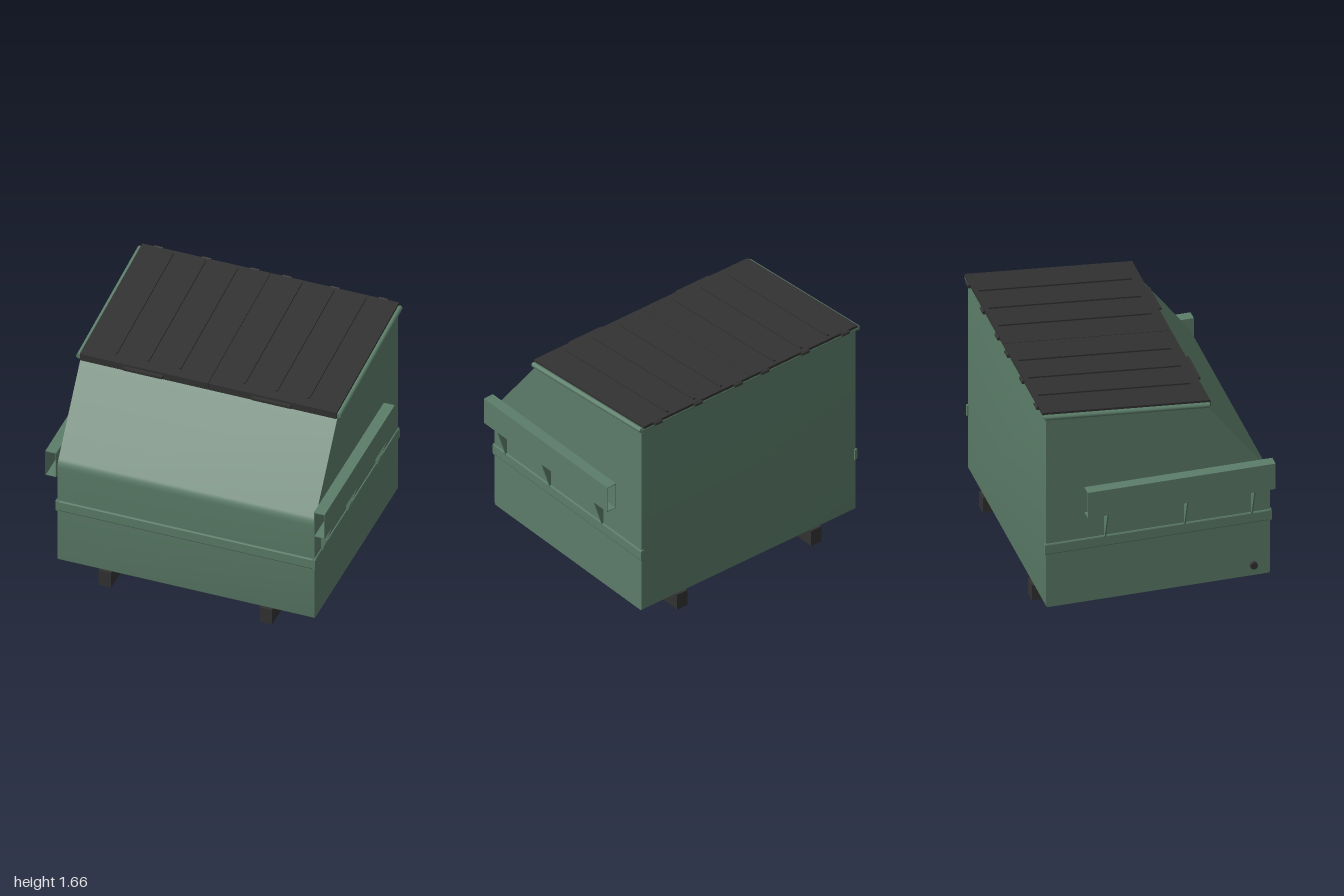
import * as THREE from 'three';
import { toCreasedNormals } from 'three/addons/utils/BufferGeometryUtils.js';

export function createModel() {
  const model = new THREE.Group();
  model.name = 'wasteContainer';
  const green = new THREE.MeshStandardMaterial({ color: 0x5c7d69 });
  green.name = 'greenSteel';
  const black = new THREE.MeshStandardMaterial({ color: 0x323232 });
  black.name = 'blackPlastic';

  const add = (name, geometry, material, x = 0, y = 0, z = 0) => {
    const mesh = new THREE.Mesh(geometry, material);
    mesh.name = name;
    mesh.position.set(x, y, z);
    model.add(mesh);
    return mesh;
  };
  const box = (name, material, w, h, d, x, y, z) =>
    add(name, new THREE.BoxGeometry(w, h, d), material, x, y, z);
  const extrude = (shape, depth) =>
    new THREE.ExtrudeGeometry(shape, { depth, bevelEnabled: false, curveSegments: 6 }).translate(0, 0, -depth / 2);
  const polygon = (points) => new THREE.Shape(points.map(([a, b]) => new THREE.Vector2(a, b)));
  // Side profile (z, y) swept along x
  const sweepX = (shape, width) => extrude(shape, width).rotateY(-Math.PI / 2);
  // Round bar between two points
  const bar = (name, material, radius, a, b) => {
    const from = new THREE.Vector3(...a), to = new THREE.Vector3(...b);
    const mesh = add(name, new THREE.CylinderGeometry(radius, radius, from.distanceTo(to), 14), material);
    mesh.position.copy(from).lerp(to, 0.5);
    mesh.quaternion.setFromUnitVectors(new THREE.Vector3(0, 1, 0), to.sub(from).normalize());
    return mesh;
  };

  // Body with bent front panel and slightly rounded bottom edges
  const side = new THREE.Shape();
  side.moveTo(-0.75, 0.122);
  side.lineTo(0.78, 0.122);
  side.quadraticCurveTo(0.795, 0.122, 0.795, 0.137);
  side.lineTo(0.795, 0.89);
  side.quadraticCurveTo(0.795, 0.925, 0.774, 0.953);
  side.lineTo(0.36, 1.505);
  side.lineTo(-0.765, 1.61);
  side.lineTo(-0.765, 0.137);
  side.quadraticCurveTo(-0.765, 0.122, -0.75, 0.122);
  add('body', toCreasedNormals(sweepX(side, 1.84), 0.5), green);

  // Reinforcing belt on the front and both sides
  const beltShape = polygon([[-0.01, -0.041], [0.01, -0.041], [0.014, -0.033], [0.014, 0.033], [0.01, 0.041], [-0.01, 0.041]]);
  add('frontBelt', sweepX(beltShape, 1.86), green, 0, 0.581, 0.792);
  for (const s of [-1, 1]) {
    const belt = add(s > 0 ? 'leftBelt' : 'rightBelt', extrude(beltShape, 1.58), green, s * 0.917, 0.581, 0.015);
    if (s < 0) belt.rotation.y = Math.PI;
  }

  for (const s of [-1, 1]) {
    const label = s > 0 ? 'left' : 'right';
    // Open fork pocket: rectangular tube with a dark stop deep inside
    const tube = polygon([[-0.039, -0.1], [0.039, -0.1], [0.039, 0.1], [-0.039, 0.1]]);
    tube.holes.push(polygon([[-0.034, -0.095], [-0.034, 0.095], [0.034, 0.095], [0.034, -0.095]]));
    add(label + 'ForkPocket', extrude(tube, 1.31), green, s * 0.961, 0.923, 0.157);
    box(label + 'PocketStop', black, 0.069, 0.191, 0.3, s * 0.961, 0.923, 0.157);

    // Triangular gussets under the pocket
    const gusset = polygon([[0.915, 0.61], [0.931, 0.61], [1, 0.824], [0.915, 0.824]]);
    for (const z of [0.668, 0.2, -0.356]) {
      const plate = add(label + 'Gusset', extrude(gusset, 0.01), green, 0, 0, z);
      if (s < 0) plate.rotation.y = Math.PI;
    }

    // Sloped rim tube
    bar(label + 'RimTube', green, 0.019, [s * 0.93, 1.522, 0.37], [s * 0.93, 1.623, -0.78]);

    // Skid
    box(label + 'Skid', black, 0.09, 0.122, 1.58, s * 0.576, 0.061, 0.015);

    // Lid half with a turned-down front lip
    const lid = polygon([[0.36, 1.5], [0.38, 1.5], [0.38, 1.552], [-0.79, 1.656], [-0.79, 1.636], [0.36, 1.532]]);
    add(label + 'Lid', sweepX(lid, 0.917), black, s * 0.4605, 0, 0);
    box(label + 'LidHandle', black, 0.28, 0.018, 0.03, s * 0.46, 1.527, 0.392);

    // Raised lid ribs
    for (const x of [0.23, 0.46, 0.69]) {
      const rib = box(label + 'LidRib', black, 0.018, 0.02, 1.07, s * x, 1.607, -0.225);
      rib.rotation.x = Math.atan(0.104 / 1.17);
    }

    // Hinge knuckles
    for (const x of [0.115, 0.46, 0.805]) {
      bar(label + 'Hinge', black, 0.013, [s * x - 0.032, 1.644, -0.797], [s * x + 0.032, 1.644, -0.797]);
    }
  }

  // Rear rim tube and drain plug
  bar('rearRimTube', green, 0.019, [-0.93, 1.62, -0.767], [0.93, 1.62, -0.767]);
  bar('drainPlug', black, 0.026, [-0.91, 0.205, 0.68], [-0.944, 0.205, 0.68]);

  return model;
}
